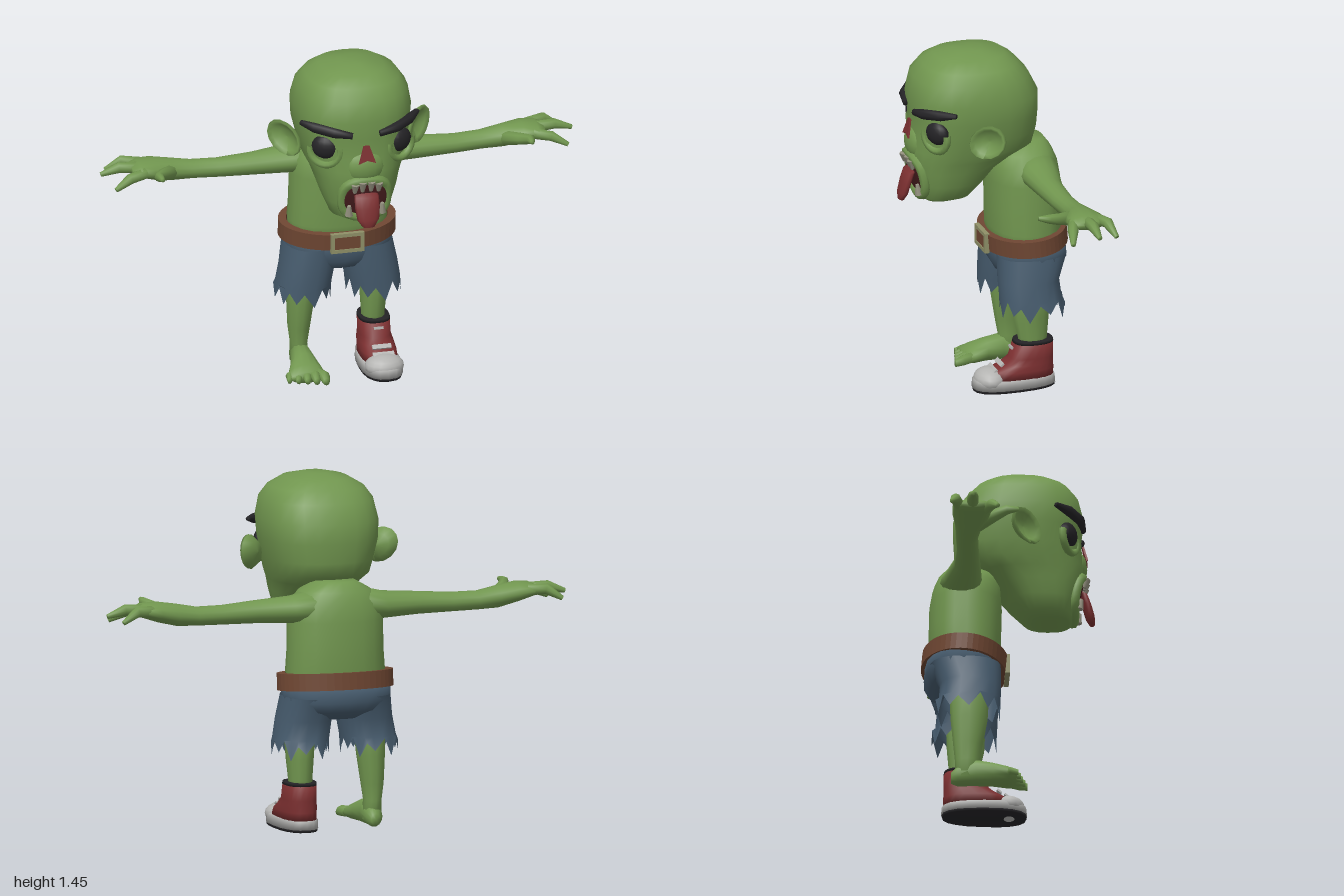
import * as THREE from 'three';

const V = (x, y, z) => new THREE.Vector3(x, y, z);
const UP = V(0, 1, 0), FRONT = V(0, 0, 1);

// Rows [x, y, z, halfWidth, halfDepth] joined by rounded rings; dir fixes the ring plane.
function loft(rows, { n = 16, power = 2, ref = UP, dir = null, caps = true } = {}) {
  const pos = [], index = [];
  const se = (c) => Math.sign(c) * Math.pow(Math.abs(c), 2 / power);
  const centre = (i) => V(rows[i][0], rows[i][1], rows[i][2]);
  rows.forEach((r, i) => {
    const last = rows.length - 1;
    const t = dir ? dir.clone() : centre(Math.min(i + 1, last)).sub(centre(Math.max(i - 1, 0)));
    t.normalize();
    const u = ref.clone().cross(t).normalize(), v = t.clone().cross(u);
    for (let j = 0; j < n; j++) {
      const a = (j / n) * Math.PI * 2;
      const p = centre(i).addScaledVector(u, r[3] * se(Math.cos(a))).addScaledVector(v, r[4] * se(Math.sin(a)));
      pos.push(p.x, p.y, p.z);
    }
  });
  for (let i = 0; i < rows.length - 1; i++)
    for (let j = 0; j < n; j++) {
      const a = i * n + j, b = i * n + ((j + 1) % n);
      index.push(a, b, b + n, a, b + n, a + n);
    }
  if (caps) {
    const c0 = pos.length / 3, top = (rows.length - 1) * n, e = rows[rows.length - 1];
    pos.push(...rows[0].slice(0, 3), ...e.slice(0, 3));
    for (let j = 0; j < n; j++) {
      const k = (j + 1) % n;
      index.push(c0, k, j, c0 + 1, top + j, top + k);
    }
  }
  const g = new THREE.BufferGeometry();
  g.setAttribute('position', new THREE.Float32BufferAttribute(pos, 3));
  g.setIndex(index);
  g.computeVertexNormals();
  return g;
}

// Upright loft from rows [y, halfWidth, zBack, zFront]
const upright = (rows, x = 0, opt = {}) =>
  loft(rows.map(([y, w, b, f]) => [x, y, (b + f) / 2, w, (f - b) / 2]), { ref: FRONT, dir: UP, ...opt });

export function createModel() {
  const root = new THREE.Group();
  const mat = (name, color, side = THREE.FrontSide) => {
    const m = new THREE.MeshStandardMaterial({ color, side });
    m.name = name;
    return m;
  };
  const skin = mat('green skin', 0x71964f), denim = mat('blue denim', 0x465b6d, THREE.DoubleSide);
  const leather = mat('brown leather', 0x6e4632), metal = mat('dull brass', 0x8f9068);
  const red = mat('dark red', 0x7b2f30), mouthDark = mat('mouth dark red', 0x451c1d);
  const white = mat('off white', 0xb4b4b2), dark = mat('near black', 0x242326);
  const bone = mat('tooth grey', 0x94917f);

  const add = (name, geo, material, parent = root) => {
    const m = new THREE.Mesh(geo, material);
    m.name = name;
    parent.add(m);
    return m;
  };
  const ball = (name, material, p, r, parent = root) => {
    const m = add(name, new THREE.SphereGeometry(1, 16, 10), material, parent);
    m.position.set(...p);
    m.scale.set(...r);
    return m;
  };

  // Head and muzzle
  add('head', upright([
    [0.81, 0.075, 0.11, 0.25], [0.83, 0.12, 0.06, 0.27], [0.89, 0.145, 0.0, 0.285], [0.95, 0.165, -0.05, 0.3],
    [1.0, 0.18, -0.13, 0.31], [1.04, 0.2, -0.205, 0.31], [1.1, 0.215, -0.22, 0.305], [1.18, 0.235, -0.225, 0.3],
    [1.26, 0.24, -0.225, 0.31], [1.34, 0.225, -0.185, 0.29], [1.39, 0.19, -0.14, 0.25],
    [1.425, 0.13, -0.09, 0.2], [1.443, 0.05, 0.0, 0.12]], 0, { n: 24, power: 2.5 }), skin);
  ball('muzzle', skin, [0, 1.06, 0.27], [0.09, 0.08, 0.055]);

  // Open nose
  const tri = new THREE.Shape([new THREE.Vector2(-0.036, -0.03), new THREE.Vector2(0, -0.018),
    new THREE.Vector2(0.036, -0.03), new THREE.Vector2(0.012, 0.045), new THREE.Vector2(-0.012, 0.045)]);
  const nose = add('nose hole', new THREE.ExtrudeGeometry(tri, { depth: 0.008, bevelEnabled: false }), red);
  nose.position.set(0, 1.115, 0.313);
  nose.rotation.x = -0.22;

  // Mouth with lips, teeth and hanging tongue
  const mouth = new THREE.Group();
  mouth.name = 'mouth';
  mouth.position.set(0, 0.92, 0.288);
  mouth.rotation.x = 0.2;
  root.add(mouth);
  ball('mouth cavity', mouthDark, [0, 0, 0.004], [0.09, 0.088, 0.006], mouth);
  const loop = [];
  for (let i = 0; i < 12; i++) {
    const a = (i / 12) * Math.PI * 2, c = Math.cos(a), s = Math.sin(a);
    loop.push(V(0.095 * Math.sign(c) * Math.abs(c) ** 0.75, 0.088 * Math.sign(s) * Math.abs(s) ** 0.75, -0.014 * c * c));
  }
  add('lips', new THREE.TubeGeometry(new THREE.CatmullRomCurve3(loop, true), 28, 0.021, 7, true), skin, mouth);
  for (const [x, y, h, flip] of [[-0.05, 0.06, 0.04, 1], [-0.018, 0.066, 0.045, 1], [0.018, 0.066, 0.045, 1],
    [0.05, 0.06, 0.04, 1], [-0.07, -0.045, 0.045, 0], [0.07, -0.045, 0.045, 0]]) {
    const t = add('tooth', new THREE.CylinderGeometry(0.008, 0.018, h, 6), bone, mouth);
    t.position.set(x, y, 0.014);
    t.rotation.x = flip * Math.PI;
  }
  add('tongue', loft([[0, 0.955, 0.275, 0.045, 0.014], [0, 0.935, 0.31, 0.052, 0.018], [0, 0.89, 0.325, 0.052, 0.019],
    [0, 0.845, 0.337, 0.046, 0.019], [0, 0.815, 0.345, 0.025, 0.012]], { n: 12, ref: FRONT, dir: V(0, -1, 0) }), red);

  // Paired face parts and arms
  for (const s of [1, -1]) {
    const side = s > 0 ? 'left ' : 'right ';
    const mirror = (rows) => rows.map(([x, ...r]) => [s * x, ...r]);
    ball(side + 'eye', dark, [s * 0.155, 1.145, 0.238], [0.058, 0.052, 0.035]).rotation.y = s * 0.45;
    const bag = add(side + 'eye bag', new THREE.TorusGeometry(0.064, 0.016, 7, 12, Math.PI * 1.15), skin);
    bag.rotation.set(0, s * 0.5, Math.PI * 0.925);
    bag.position.set(s * 0.158, 1.13, 0.245);
    add(side + 'eyebrow', loft(mirror([[0.058, 1.208, 0.306, 0.012, 0.014], [0.13, 1.222, 0.29, 0.02, 0.022],
      [0.2, 1.233, 0.24, 0.02, 0.022], [0.245, 1.24, 0.185, 0.012, 0.01]]), { n: 8 }), dark);

    // Cupped ear, wider at the top
    const profile = [[0, -0.035], [0.05, -0.028], [0.075, 0.002], [0.07, 0.013], [0.055, 0], [0.03, -0.014], [0, -0.017]];
    const ear = new THREE.LatheGeometry(profile.map((p) => new THREE.Vector2(...p)), 14).rotateX(Math.PI / 2);
    const ep = ear.attributes.position;
    for (let i = 0; i < ep.count; i++) ep.setX(i, ep.getX(i) * 1.08 + s * 0.25 * ep.getY(i));
    ear.computeVertexNormals();
    const em = add(side + 'ear', ear, skin);
    em.position.set(s * 0.282, 1.125, 0.06);
    em.rotation.y = s * 0.83;

    // Arm, palm and fingers
    add(side + 'arm', loft(mirror([[0.06, 0.935, -0.2, 0.095, 0.075], [0.2, 0.92, -0.195, 0.078, 0.056],
      [0.35, 0.917, -0.185, 0.055, 0.047], [0.5, 0.913, -0.19, 0.046, 0.04], [0.61, 0.915, -0.198, 0.046, 0.039],
      [0.7, 0.925, -0.195, 0.056, 0.046], [0.78, 0.94, -0.188, 0.078, 0.042], [0.84, 0.948, -0.185, 0.082, 0.03],
      [0.87, 0.945, -0.185, 0.065, 0.018]]), { n: 14, dir: V(s, 0, 0) }), skin);
    const fingers = [
      [[0.82, 0.95, -0.235, 0.024], [0.89, 0.955, -0.258, 0.023], [0.955, 0.915, -0.275, 0.01]],
      [[0.83, 0.95, -0.185, 0.025], [0.92, 0.955, -0.188, 0.023], [0.995, 0.932, -0.19, 0.01]],
      [[0.82, 0.945, -0.13, 0.024], [0.89, 0.935, -0.108, 0.022], [0.955, 0.9, -0.088, 0.01]],
      [[0.71, 0.925, -0.16, 0.032], [0.76, 0.945, -0.09, 0.025], [0.785, 0.96, -0.04, 0.02], [0.78, 0.965, 0.005, 0.009]]];
    for (const f of fingers)
      add(side + 'finger', loft(mirror(f.map(([x, y, z, r]) => [x, y, z, r, r])), { n: 8 }), skin);
  }

  // Torso with hunched back
  add('torso', upright([[0.56, 0.2, -0.315, -0.04], [0.66, 0.207, -0.325, -0.03], [0.75, 0.2, -0.325, -0.028],
    [0.87, 0.2, -0.322, -0.025], [0.94, 0.19, -0.31, -0.03], [0.99, 0.15, -0.29, -0.05], [1.03, 0.08, -0.26, -0.1]],
    0, { n: 20, power: 2.3 }), skin);

  // Tilted belt and buckle
  const ring = new THREE.Shape().absellipse(0, 0, 0.245, 0.176, 0, Math.PI * 2);
  ring.holes.push(new THREE.Path().absellipse(0, 0, 0.212, 0.146, 0, Math.PI * 2));
  const belt = add('belt', new THREE.ExtrudeGeometry(ring, { depth: 0.07, bevelEnabled: false, curveSegments: 24 })
    .rotateX(-Math.PI / 2).translate(0, -0.035, 0), leather);
  belt.position.set(0, 0.618, -0.178);
  belt.rotation.x = 0.09;
  const rect = (C, w, h) => new C().moveTo(-w, -h).lineTo(w, -h).lineTo(w, h).lineTo(-w, h).lineTo(-w, -h);
  const frame = rect(THREE.Shape, 0.07, 0.042);
  frame.holes.push(rect(THREE.Path, 0.054, 0.027));
  const buckle = add('buckle', new THREE.ExtrudeGeometry(frame, { depth: 0.02, bevelEnabled: false }), metal);
  buckle.position.set(0, 0.601, -0.014);
  const strap = add('buckle strap', new THREE.BoxGeometry(0.11, 0.056, 0.012), leather);
  strap.position.set(0, 0.601, -0.004);

  // Torn shorts
  add('shorts seat', upright([[0.465, 0.11, -0.27, -0.06], [0.5, 0.2, -0.32, -0.04], [0.54, 0.226, -0.345, -0.033],
    [0.61, 0.226, -0.34, -0.03]], 0, { n: 20, power: 2.4 }), denim);
  for (const s of [1, -1]) {
    const n = 22;
    const leg = loft([[s * 0.15, 0.345, -0.172, 0.113, 0.134], [s * 0.145, 0.385, -0.165, 0.112, 0.128],
      [s * 0.132, 0.46, -0.16, 0.112, 0.126], [s * 0.115, 0.56, -0.18, 0.11, 0.145]],
      { n, power: 2.3, ref: FRONT, dir: UP, caps: false });
    const p = leg.attributes.position;
    for (let j = 0; j < n; j++) p.setY(j, j % 2 ? 0.375 + 0.012 * Math.sin(j * 2) : 0.318 + 0.015 * Math.sin(j * 1.7));
    leg.computeVertexNormals();
    add('shorts leg', leg, denim);
  }

  // Legs
  add('left leg', upright([[0.16, 0.048, -0.23, -0.115], [0.21, 0.048, -0.235, -0.11], [0.3, 0.055, -0.243, -0.09],
    [0.5, 0.07, -0.25, -0.08]], 0.15, { n: 12 }), skin);
  add('right leg', loft([[-0.16, 0.03, -0.175, 0.04, 0.05], [-0.163, 0.11, -0.175, 0.036, 0.05], [-0.163, 0.18, -0.172, 0.046, 0.06],
    [-0.158, 0.3, -0.167, 0.057, 0.076], [-0.15, 0.5, -0.165, 0.07, 0.085]], { n: 12, ref: FRONT, dir: UP }), skin);

  // Bare right foot
  add('bare foot', loft([[-0.155, 0.036, -0.24, 0.02, 0.024], [-0.157, 0.044, -0.215, 0.036, 0.042],
    [-0.163, 0.058, -0.14, 0.043, 0.056], [-0.168, 0.05, -0.07, 0.056, 0.048], [-0.173, 0.037, -0.01, 0.075, 0.036],
    [-0.174, 0.03, 0.025, 0.072, 0.024]], { n: 14, dir: FRONT }), skin);
  for (let i = 0; i < 5; i++) {
    const x = -0.108 - i * 0.034, r = 0.023 - i * 0.0015, z = 0.075 - i * 0.011;
    add('toe', loft([[x * 0.6 - 0.07, 0.035, -0.02, r, r], [x, 0.034, z - 0.035, r, r], [x - i * 0.002, 0.024, z, r * 0.6, r * 0.7]],
      { n: 8, dir: FRONT }), skin);
  }

  // Left high-top shoe
  const shoe = new THREE.Group();
  shoe.name = 'shoe';
  shoe.position.x = 0.152;
  root.add(shoe);
  const taper = (g) => {
    const p = g.attributes.position;
    for (let i = 0; i < p.count; i++) p.setX(i, p.getX(i) * (0.9 + 0.35 * (p.getZ(i) + 0.09)));
    g.computeVertexNormals();
    return g;
  };
  const shoePart = (name, rows, m) => add(name, taper(upright(rows, 0, { n: 20, power: 2.5 })), m, shoe);
  shoePart('outsole', [[0, 0.091, -0.263, 0.083], [0.012, 0.093, -0.265, 0.085]], dark);
  shoePart('sole', [[0.011, 0.095, -0.267, 0.086], [0.045, 0.093, -0.264, 0.083], [0.05, 0.085, -0.255, 0.075]], white);
  shoePart('upper', [[0.045, 0.085, -0.258, 0.035], [0.08, 0.083, -0.258, 0.01], [0.105, 0.08, -0.257, -0.04],
    [0.13, 0.074, -0.257, -0.07], [0.195, 0.073, -0.256, -0.09]], red);
  shoePart('collar', [[0.19, 0.075, -0.257, -0.088], [0.202, 0.073, -0.255, -0.092]], dark);
  ball('toe cap', white, [0, 0.045, 0.012], [0.082, 0.048, 0.066], shoe);
  const laces = [[0.09, 0.088, 0.0, 0.02, 0.9], [0.08, 0.11, -0.03, 0.02, 0.9], [0.04, 0.172, -0.079, 0.01, 0.2]];
  for (const [w, y, z, h, lean] of laces) {
    const l = add('lace strip', new THREE.BoxGeometry(w, h, 0.008), white, shoe);
    l.position.set(0, y, z);
    l.rotation.x = -lean;
  }
  return root;
}
